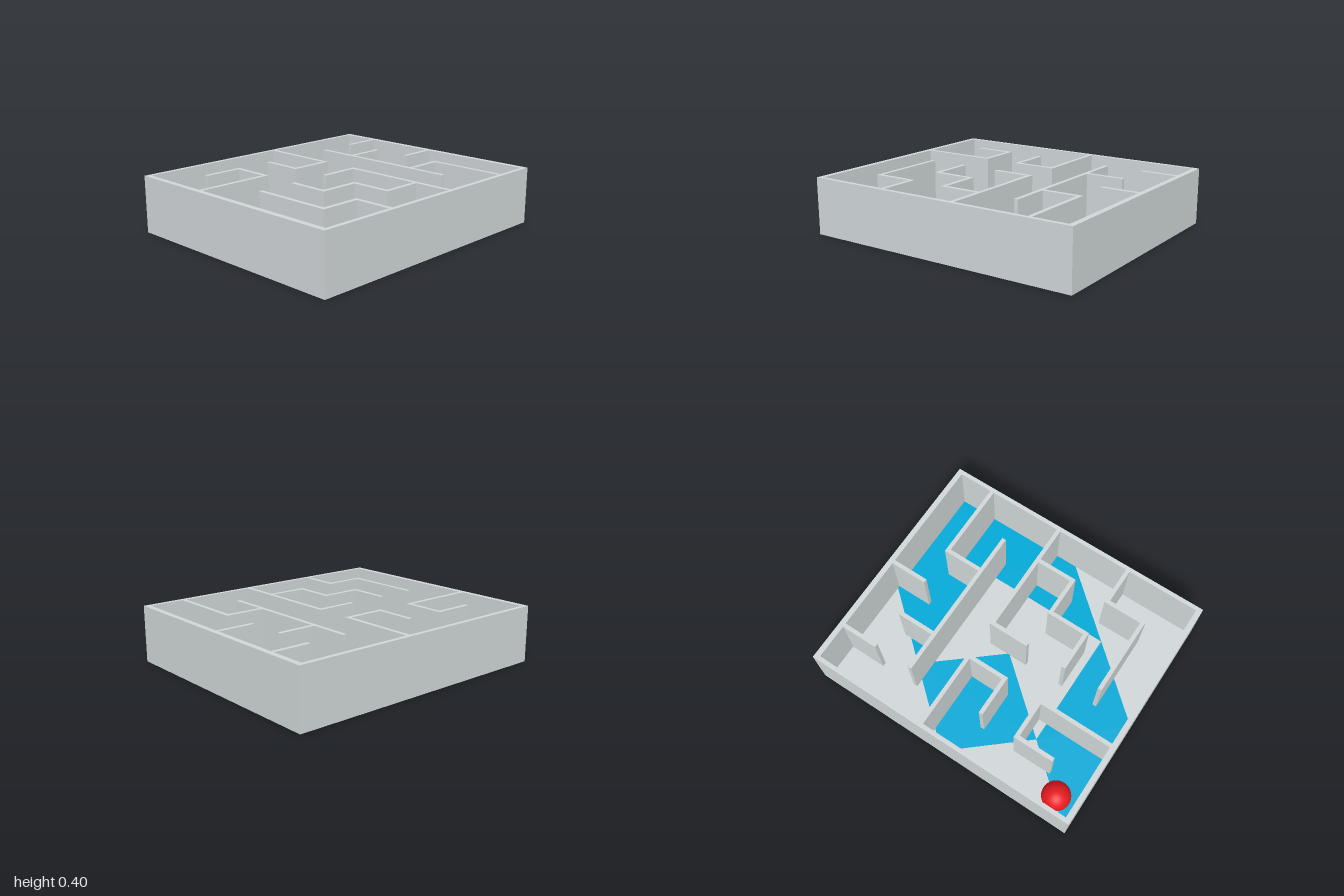
import * as THREE from 'three';

const W = 2, D = 1.72, H = 0.4, T = 0.029;

export function createModel() {
  const grey = new THREE.MeshStandardMaterial({ color: 0xd1d7d9 });
  grey.name = 'light grey';
  const blue = new THREE.MeshStandardMaterial({ color: 0x00a9d8 });
  blue.name = 'blue';
  const red = new THREE.MeshStandardMaterial({ color: 0xed1c22 });
  red.name = 'red';

  const model = new THREE.Group();
  model.name = 'mazeBox';

  const add = (parent, name, geometry, material, x, y, z) => {
    const mesh = new THREE.Mesh(geometry, material);
    mesh.name = name;
    mesh.position.set(x, y, z);
    parent.add(mesh);
    return mesh;
  };

  // Outer frame
  const frame = new THREE.Group();
  frame.name = 'outerWalls';
  model.add(frame);
  const tx = 0.038, tz = 0.03;
  for (const s of [-1, 1]) {
    add(frame, 'sideWall', new THREE.BoxGeometry(tx, H, D), grey, s * (W - tx) / 2, H / 2, 0);
    add(frame, 'endWall', new THREE.BoxGeometry(W - 2 * tx, H, tz), grey, 0, H / 2, s * (D - tz) / 2);
  }

  // Inner maze walls: centre lines as [x, z] corners
  const paths = [
    [[-0.69, -0.567], [-0.425, -0.567], [-0.425, -0.286], [-0.97, -0.286]],
    [[-0.147, -0.555], [-0.147, -0.284], [0.139, -0.284], [0.139, -0.835]],
    [[0.421, -0.555], [0.421, 0.55]],
    [[0.421, -0.284], [0.69, -0.284]],
    [[0.421, 0.277], [0.7, 0.277], [0.7, 0.835]],
    [[0.71, -0.565], [0.97, -0.565]],
    [[0.71, -0.001], [0.97, -0.001]],
    [[-0.13, -0.003], [0.139, -0.003], [0.139, 0.835]],
    [[0.139, 0.56], [-0.147, 0.56], [-0.147, 0.277], [-0.428, 0.277], [-0.428, 0.005]],
    [[-0.706, 0.01], [-0.706, 0.557], [-0.425, 0.557], [-0.425, 0.835]],
  ];
  const maze = new THREE.Group();
  maze.name = 'mazeWalls';
  model.add(maze);
  for (const path of paths) {
    for (let i = 1; i < path.length; i++) {
      const [x0, z0] = path[i - 1], [x1, z1] = path[i];
      const box = new THREE.BoxGeometry(Math.abs(x1 - x0) + T, H, Math.abs(z1 - z0) + T);
      add(maze, 'mazeWall', box, grey, (x0 + x1) / 2, H / 2, (z0 + z1) / 2);
    }
  }

  // Thin floor, with blue inlays that show on both of its sides
  add(model, 'floor', new THREE.BoxGeometry(W - tx, 0.004, D - tz), grey, 0, 0.006, 0);
  const ex = 0.995, ez = 0.856, hx = 0.5, hz = 0.43;
  const patches = [
    [[-ex, -ez], [-hx, -hz], [-hx, hz], [-ex, 0.005]],
    [[0, -ez], [hx, -hz], [0, -0.01], [-hx, -hz]],
    [[ex, -0.005], [ex, ez], [-0.005, ez], [-hx, hz], [hx, hz], [hx, -hz]],
  ];
  for (const points of patches) {
    const shape = new THREE.Shape(points.map(([x, z]) => new THREE.Vector2(x, -z)));
    const geometry = new THREE.ExtrudeGeometry(shape, { depth: 0.008, bevelEnabled: false });
    add(model, 'floorInlay', geometry, blue, 0, 0.002, 0).rotation.x = -Math.PI / 2;
  }

  // Ball in the back corner
  add(model, 'ball', new THREE.SphereGeometry(0.1, 32, 20), red, -0.826, 0.115, -0.7);

  return model;
}
